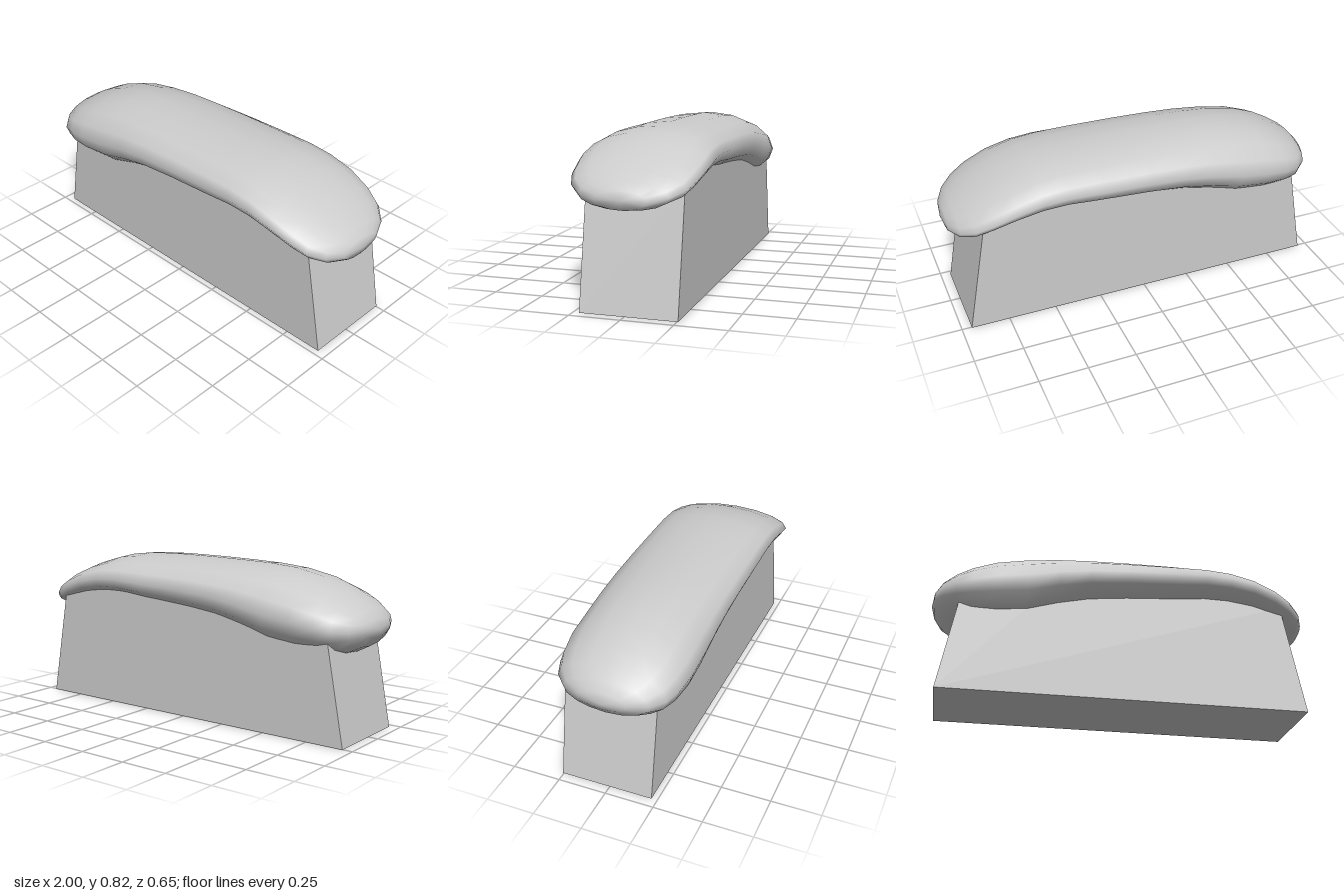
import * as THREE from 'three';

const SIDES = 16;

// Handle stations: [x, top y, bottom y, half width]
const STATIONS = [
  [-0.985, 0.59, 0.50, 0.125],
  [-0.945, 0.635, 0.452, 0.215],
  [-0.88, 0.677, 0.418, 0.277],
  [-0.8, 0.72, 0.402, 0.307],
  [-0.68, 0.765, 0.397, 0.324],
  [-0.52, 0.798, 0.41, 0.324],
  [-0.36, 0.81, 0.465, 0.324],
  [-0.2, 0.814, 0.507, 0.324],
  [0, 0.817, 0.533, 0.324],
  [0.25, 0.817, 0.555, 0.324],
  [0.42, 0.811, 0.576, 0.324],
  [0.55, 0.795, 0.577, 0.324],
  [0.68, 0.756, 0.563, 0.324],
  [0.8, 0.705, 0.53, 0.307],
  [0.88, 0.66, 0.503, 0.277],
  [0.945, 0.62, 0.487, 0.215],
  [0.985, 0.583, 0.495, 0.125],
];

// Closed loft of elliptical cross-sections with a pole at each end
function loft(stations, leftPole, rightPole) {
  const pos = [];
  const index = [];
  for (const [x, top, bottom, w] of stations) {
    const c = (top + bottom) / 2;
    const h = (top - bottom) / 2;
    for (let j = 0; j < SIDES; j++) {
      const a = (j / SIDES) * Math.PI * 2;
      pos.push(x, c + h * Math.cos(a), w * Math.sin(a));
    }
  }
  const rings = stations.length;
  const left = rings * SIDES;
  const right = left + 1;
  pos.push(...leftPole, ...rightPole);
  const last = (rings - 1) * SIDES;
  for (let j = 0; j < SIDES; j++) {
    const k = (j + 1) % SIDES;
    index.push(left, k, j, last + j, last + k, right);
    for (let i = 0; i < rings - 1; i++) {
      const a = i * SIDES;
      const b = a + SIDES;
      index.push(a + j, a + k, b + j, b + j, a + k, b + k);
    }
  }
  const geo = new THREE.BufferGeometry();
  geo.setAttribute('position', new THREE.Float32BufferAttribute(pos, 3));
  geo.setIndex(index);
  geo.computeVertexNormals();
  return geo;
}

export function createModel() {
  const group = new THREE.Group();
  group.name = 'brush';
  const material = new THREE.MeshStandardMaterial({ color: 0xcccccc });

  // Curved, cushion-like handle
  const handle = new THREE.Mesh(loft(STATIONS, [-1, 0.54, 0], [1, 0.54, 0]), material);
  handle.name = 'handle';
  group.add(handle);

  // Tapered bristle block; its top edge is buried inside the handle
  const outline = new THREE.Shape([
    [-0.95, 0], [0.95, 0], [0.84, 0.59], [0.45, 0.69], [-0.35, 0.65], [-0.845, 0.56],
  ].map(([x, y]) => new THREE.Vector2(x, y)));
  const block = new THREE.ExtrudeGeometry(outline, { depth: 0.475, bevelEnabled: false });
  block.translate(0, 0, -0.255);
  const bristles = new THREE.Mesh(block, material);
  bristles.name = 'bristles';
  group.add(bristles);

  return group;
}
